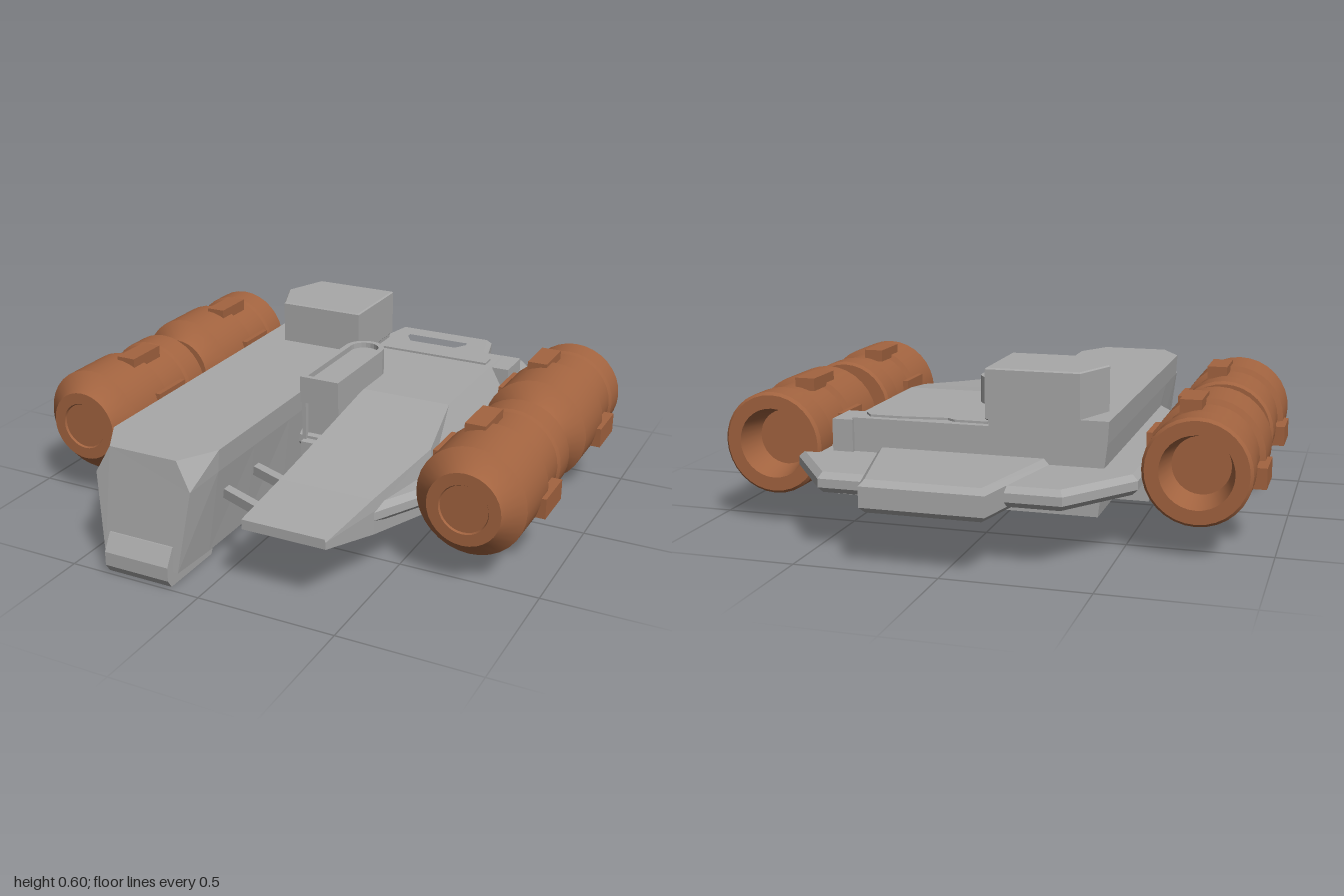
import * as THREE from 'three';
import { toCreasedNormals } from 'three/addons/utils/BufferGeometryUtils.js';

export function createModel() {
  const model = new THREE.Group();
  const hullGrey = new THREE.MeshStandardMaterial({ color: 0xa8a8a8 });
  const engineBrown = new THREE.MeshStandardMaterial({ color: 0xa36440 });
  hullGrey.name = 'hullGrey';
  engineBrown.name = 'engineBrown';

  const add = (name, geometry, material = hullGrey, parent = model) => {
    const mesh = new THREE.Mesh(geometry, material);
    mesh.name = name;
    parent.add(mesh);
    return mesh;
  };

  // Box from its min and max corners
  const box = (name, [x0, y0, z0], [x1, y1, z1], material, parent) =>
    add(name, new THREE.BoxGeometry(x1 - x0, y1 - y0, z1 - z0)
      .translate((x0 + x1) / 2, (y0 + y1) / 2, (z0 + z1) / 2), material, parent);

  // Horizontal plate from an [x, z] outline, with an optional hole and bevel
  const toPoints = (list) => list.map(([x, z]) => new THREE.Vector2(x, -z));
  const plate = (name, outline, y0, y1, bevel = 0, hole = null) => {
    const shape = new THREE.Shape(toPoints(outline));
    if (hole) shape.holes.push(new THREE.Path(toPoints(hole)));
    const g = new THREE.ExtrudeGeometry(shape, {
      depth: y1 - y0 - 2 * bevel, bevelEnabled: bevel > 0, bevelSegments: 1,
      bevelSize: bevel, bevelThickness: bevel, bevelOffset: -bevel,
    });
    return add(name, g.rotateX(-Math.PI / 2).translate(0, y0 + bevel, 0));
  };

  // Faceted loft through rings of [x, y, z], clockwise seen from the front
  const loft = (name, rings) => {
    const pos = [];
    const tri = (...p) => p.forEach((v) => pos.push(...v));
    const n = rings[0].length;
    for (let i = 0; i < rings.length - 1; i++) {
      for (let j = 0; j < n; j++) {
        const k = (j + 1) % n;
        const [a, b, c, d] = [rings[i][j], rings[i][k], rings[i + 1][k], rings[i + 1][j]];
        tri(a, d, c);
        tri(a, c, b);
      }
    }
    const first = rings[0], last = rings[rings.length - 1];
    for (let j = 1; j < n - 1; j++) {
      tri(first[0], first[j], first[j + 1]);
      tri(last[0], last[j + 1], last[j]);
    }
    const g = new THREE.BufferGeometry();
    g.setAttribute('position', new THREE.Float32BufferAttribute(pos, 3));
    g.computeVertexNormals();
    return add(name, g);
  };

  // Wide base plate and the rear frame
  plate('basePlate', [
    [-0.37, -0.88], [0.46, -0.88], [0.65, -0.62], [0.65, -0.1], [0.63, -0.06], [0.65, -0.02],
    [0.65, 0.3], [0.6, 0.4], [0.47, 0.65], [0.2, 0.65], [0.1, 0.2], [-0.1, 0.2], [-0.2, 0.5],
    [-0.45, 0.51], [-0.56, 0.33], [-0.56, -0.02], [-0.52, -0.06], [-0.56, -0.1], [-0.56, -0.62],
  ], 0.21, 0.28, 0.02);
  plate('rearFrame',
    [[-0.155, -1], [0.265, -1], [0.38, -0.55], [-0.25, -0.55]], 0.19, 0.3, 0.02,
    [[-0.1, -0.92], [0.21, -0.92], [0.21, -0.87], [0.1, -0.69], [0.02, -0.69], [-0.1, -0.87]]);

  // Long hull: a six-sided section symmetric about x = -0.24
  const hullRing = (bottom, wTop, wMid, wBot, yMid, zTop, zMid, zBot) => {
    const c = -0.24;
    return [[c - wTop, 0.44, zTop], [c + wTop, 0.44, zTop], [c + wMid, yMid, zMid],
      [c + wBot, bottom, zBot], [c - wBot, bottom, zBot], [c - wMid, yMid, zMid]];
  };
  loft('longHull', [
    hullRing(0.11, 0.21, 0.205, 0.175, 0.36, -0.57, -0.57, -0.57),
    hullRing(0.11, 0.21, 0.205, 0.175, 0.36, 0.3, 0.3, 0.3),
    hullRing(0.055, 0.21, 0.205, 0.16, 0.36, 0.55, 0.55, 0.55),
    hullRing(0.05, 0.21, 0.205, 0.155, 0.36, 0.79, 0.79, 0.79),
    hullRing(0.05, 0.13, 0.185, 0.145, 0.34, 0.925, 0.935, 0.97),
  ]);

  // Chin under the nose
  const chinShape = new THREE.Shape([[0.7, 0.06], [0.73, 0], [0.98, 0], [1, 0.03], [1, 0.08],
    [0.965, 0.14], [0.9, 0.14]].map(([z, y]) => new THREE.Vector2(z, y)));
  add('chin', new THREE.ExtrudeGeometry(chinShape, { depth: 0.25, bevelEnabled: false })
    .rotateY(-Math.PI / 2).translate(-0.115, 0, 0));

  // Wedge hull on the other side
  const wedgeRing = (z, x0, yTop, xTop, xSide, ySide, yBot) => [[x0, yTop, z], [xTop, yTop, z],
    [xSide, ySide, z], [xSide, yBot, z], [x0, yBot, z]];
  loft('wedgeHull', [
    wedgeRing(-0.57, 0.12, 0.4, 0.465, 0.53, 0.28, 0.12),
    wedgeRing(0, 0.12, 0.4, 0.465, 0.53, 0.28, 0.12),
    wedgeRing(0.3, 0.12, 0.355, 0.52, 0.53, 0.28, 0.12),
    wedgeRing(0.65, 0.12, 0.307, 0.465, 0.47, 0.265, 0.18),
    wedgeRing(0.91, 0.12, 0.275, 0.42, 0.425, 0.265, 0.24),
  ]);
  box('centreDeck', [-0.06, 0.115, -0.57], [0.13, 0.4, -0.04]);
  plate('deckPanel', [[-0.02, -0.54], [0.1, -0.54], [0.13, -0.52], [0.3, -0.54], [0.41, -0.54],
    [0.44, -0.5], [0.44, -0.44], [-0.02, -0.44]], 0.4, 0.408);
  box('deckBracket', [0.46, 0.27, -0.585], [0.535, 0.395, -0.44]);

  // Hexagonal-sided rear cabin
  plate('rearCabin', [[-0.02, -0.57], [-0.02, -0.245], [-0.35, -0.245], [-0.415, -0.405],
    [-0.35, -0.57]], 0.42, 0.6, 0.005);

  // Upright fin, round at the back, with a sunk top and a raised front frame
  const stadium = (r, zFront) => {
    const pts = [[0.045 - r, zFront], [0.045 + r, zFront]];
    for (let i = 0; i <= 10; i++) {
      const a = (Math.PI * i) / 10;
      pts.push([0.045 + r * Math.cos(a), -0.16 - r * Math.sin(a)]);
    }
    return pts;
  };
  plate('finRim', stadium(0.077, 0.22), 0.4, 0.5, 0, stadium(0.055, 0.2));
  plate('finTop', stadium(0.06, 0.205), 0.4, 0.48);
  plate('finCore', stadium(0.06, 0.19), 0.2, 0.42);
  plate('finKeel', stadium(0.077, 0.22), 0.05, 0.25, 0.008);
  for (const x of [-0.03, 0.105]) box('finPost', [x, 0.24, 0.14], [x + 0.015, 0.41, 0.21]);

  // Slanted struts joining the two hulls
  for (const z of [0.51, 0.71]) {
    plate('hullStrut', [[-0.08, z - 0.02], [0.14, z + 0.07], [0.14, z + 0.105],
      [-0.08, z + 0.015]], 0.235, 0.27);
  }

  // Short side pylons
  box('longPylon', [-0.655, 0.12, 0.54], [-0.38, 0.195, 0.585]);
  for (const z of [0.33, 0.1, -0.12, -0.36]) {
    box('sidePylon', [-0.57, 0.15, z - 0.02], [-0.38, 0.22, z + 0.02]);
    box('pylonBlade', [-0.55, 0.12, z - 0.008], [-0.38, 0.16, z + 0.008]);
  }

  // Engines: one lathed body, hollow at the back, and clips around it
  const profile = [[0, 0.13], [0.1, 0.13], [0.125, 0.02], [0.173, 0.02], [0.183, 0.03],
    [0.183, 0.125], [0.174, 0.135], [0.174, 0.285], [0.194, 0.295], [0.194, 0.505],
    [0.14, 0.555], [0.13, 0.575], [0.088, 0.575], [0.084, 0.568], [0, 0.568]];
  const engineGeometry = toCreasedNormals(
    new THREE.LatheGeometry(profile.map(([r, z]) => new THREE.Vector2(r, z)), 32)
      .rotateX(Math.PI / 2), 0.5);
  for (const side of [-1, 1]) {
    for (const z of [0, -0.642]) {
      const engine = new THREE.Group();
      engine.name = 'engine';
      engine.position.set(side * 0.75, 0.3, z);
      add('engineBody', engineGeometry, engineBrown, engine);
      const mid = -side * 0.05;
      box('topClip', [mid - 0.037, 0.16, 0.19], [mid + 0.037, 0.206, 0.36], engineBrown, engine);
      box('bottomClip', [-mid - 0.037, -0.195, 0.19], [-mid + 0.037, -0.16, 0.36], engineBrown, engine);
      const out = side * 0.187;
      box('outerClip', [out - 0.023, -0.085, 0.19], [out + 0.023, -0.012, 0.36], engineBrown, engine);
      box('innerClip', [-out - 0.01, 0.012, 0.19], [-out + 0.01, 0.085, 0.36], engineBrown, engine);
      model.add(engine);
    }
  }
  return model;
}
